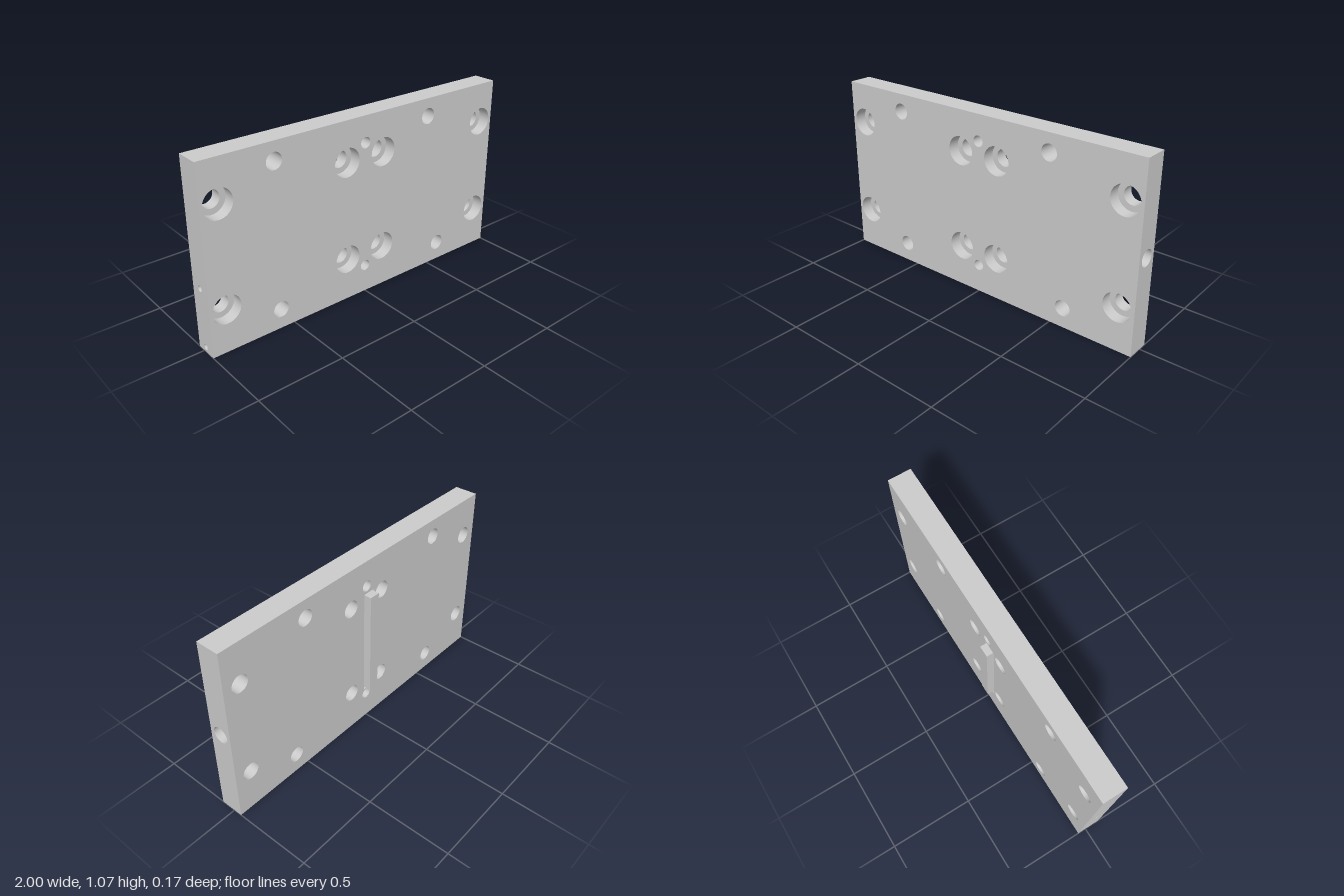
import * as THREE from 'three';

const W = 2, H = 1.065, BACK = -0.05, FRONT = 0.088;
const T = FRONT - BACK, MID = (FRONT + BACK) / 2;
const SEG = 40;
const mat = new THREE.MeshStandardMaterial({ color: 0xcccccc, side: THREE.DoubleSide });

function add(parent, name, geo, x = 0, y = 0, z = 0) {
  const m = new THREE.Mesh(geo, mat);
  m.name = name;
  m.position.set(x, y, z);
  parent.add(m);
  return m;
}

function rect(path, x0, y0, x1, y1) {
  path.moveTo(x0, y0);
  path.lineTo(x1, y0);
  path.lineTo(x1, y1);
  path.lineTo(x0, y1);
  path.closePath();
  return path;
}

const circle = (x, y, r) => new THREE.Path().absarc(x, y, r, 0, Math.PI * 2, true);

// flat rectangle pierced by holes, facing +z
function face(x0, y0, x1, y1, holes) {
  const s = rect(new THREE.Shape(), x0, y0, x1, y1);
  s.holes.push(...holes);
  return new THREE.ShapeGeometry(s, SEG / 2);
}

// open cylinder wall along z
function bore(parent, name, x, y, r, z0, z1) {
  const g = new THREE.CylinderGeometry(r, r, z1 - z0, SEG, 1, true).rotateX(Math.PI / 2);
  add(parent, name, g, x, y, (z0 + z1) / 2);
}

// end face of the plate with blind drilled holes [z, y, r, depth]
function endFace(side, holes) {
  const g = new THREE.Group();
  g.name = side > 0 ? 'leftEnd' : 'rightEnd';
  const local = holes.map(([z, y, r, d]) => [-side * (z - MID), y, r, d]);
  add(g, 'endFace', face(-T / 2, 0, T / 2, H, local.map(([x, y, r]) => circle(x, y, r))));
  for (const [x, y, r, d] of local) {
    bore(g, 'drilledHole', x, y, r, -d, 0);
    add(g, 'drilledHoleFloor', new THREE.CircleGeometry(r, SEG), x, y, -d);
  }
  g.rotation.y = side * Math.PI / 2;
  g.position.set(side * W / 2, 0, MID);
  return g;
}

export function createModel() {
  const model = new THREE.Group();
  model.name = 'mountingPlate';

  // counterbored bolt holes
  const bolts = [];
  for (const x of [-0.9, -0.125, 0.125, 0.9]) for (const y of [0.25, 0.83]) bolts.push([x, y]);
  const boltR = 0.05, headR = 0.083, step = 0.018;
  for (const [x, y] of bolts) {
    bore(model, 'boltHole', x, y, boltR, BACK, step);
    bore(model, 'counterbore', x, y, headR, step, FRONT);
    add(model, 'counterboreFloor', new THREE.RingGeometry(boltR, headR, SEG), x, y, step);
  }

  // plain through holes and central pin holes
  const plain = [
    [-0.58, 0.96, 0.047], [0.46, 0.96, 0.047], [-0.58, 0.115, 0.047], [0.58, 0.115, 0.047],
    [0, 0.913, 0.032], [0, 0.167, 0.032],
  ];
  for (const [x, y, r] of plain) bore(model, 'throughHole', x, y, r, BACK, FRONT);

  // front and back faces
  const plainPaths = plain.map(h => circle(...h));
  const slot = [-0.065, 0.207, 0.02, 0.867], slotZ = BACK + 0.03;
  add(model, 'frontFace', face(-1, 0, 1, H,
    [...plainPaths, ...bolts.map(([x, y]) => circle(x, y, headR))]), 0, 0, FRONT);
  const backGeo = face(-1, 0, 1, H, [...plainPaths,
    ...bolts.map(([x, y]) => circle(x, y, boltR)), rect(new THREE.Path(), ...slot)]);
  // turn the back face toward -z without mirroring the hole layout
  backGeo.index.array.reverse();
  const n = backGeo.attributes.normal;
  for (let i = 0; i < n.count; i++) n.setZ(i, -1);
  add(model, 'backFace', backGeo, 0, 0, BACK);

  // top and bottom edges
  add(model, 'topEdge', new THREE.PlaneGeometry(W, T).rotateX(-Math.PI / 2), 0, H, MID);
  add(model, 'bottomEdge', new THREE.PlaneGeometry(W, T).rotateX(Math.PI / 2), 0, 0, MID);

  // drilled ends
  model.add(endFace(1, [[0.018, 0.533, 0.047, 0.3]]));
  model.add(endFace(-1, [[0.018, 0.377, 0.017, 0.1], [0.018, 0.03, 0.017, 0.1]]));

  // keyway: four walls and a floor
  const [x0, y0, x1, y1] = slot, d = slotZ - BACK, cx = (x0 + x1) / 2, cy = (y0 + y1) / 2;
  for (const [x, s] of [[x0, 1], [x1, -1]])
    add(model, 'keywaySide', new THREE.PlaneGeometry(d, y1 - y0).rotateY(s * Math.PI / 2), x, cy, BACK + d / 2);
  for (const [y, s] of [[y0, -1], [y1, 1]])
    add(model, 'keywayEnd', new THREE.PlaneGeometry(x1 - x0, d).rotateX(s * Math.PI / 2), cx, y, BACK + d / 2);
  add(model, 'keywayFloor', new THREE.PlaneGeometry(x1 - x0, y1 - y0).rotateY(Math.PI), cx, cy, slotZ);

  // key bar standing proud of the back
  const keyBack = -0.087;
  add(model, 'keyBar', new THREE.BoxGeometry(0.065, 0.64, slotZ - keyBack), cx, cy, (slotZ + keyBack) / 2);

  return model;
}
